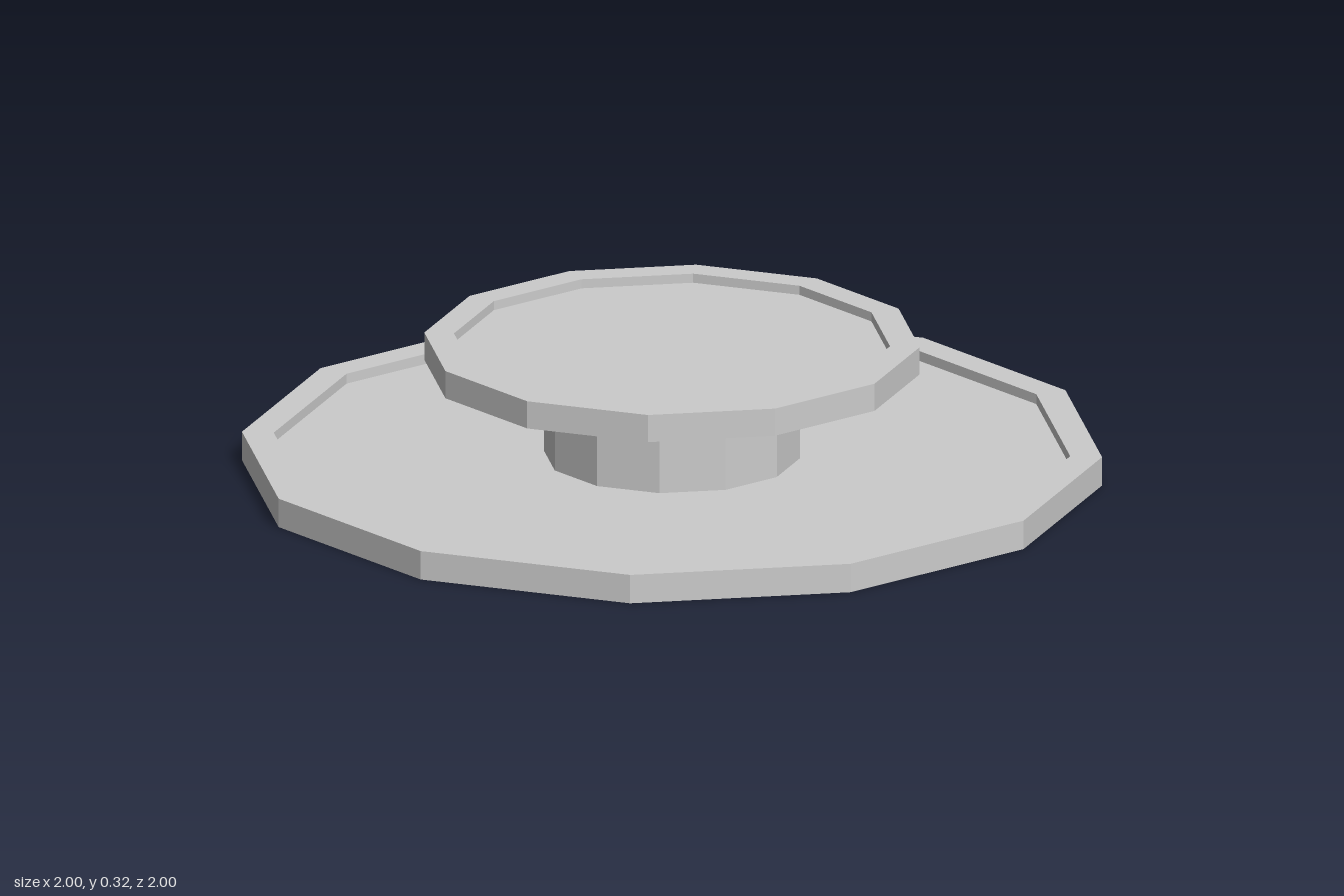
import * as THREE from 'three';

const SIDES = 12;
const material = new THREE.MeshStandardMaterial({ color: 0xcccccc, flatShading: true });

// Twelve-sided plate with a raised rim around a shallow recess
function plate(name, radius, innerRadius, bottom, top, floor) {
  const profile = [
    [0, bottom], [radius, bottom], [radius, top],
    [innerRadius, top], [innerRadius, floor], [0, floor],
  ].map(([r, y]) => new THREE.Vector2(r, y));
  const mesh = new THREE.Mesh(new THREE.LatheGeometry(profile, SIDES), material);
  mesh.name = name;
  return mesh;
}

export function createModel() {
  const group = new THREE.Group();
  group.name = 'tieredStand';

  const baseFloor = 0.045;
  const upperBottom = 0.257;

  group.add(plate('basePlate', 1, 0.926, 0, 0.069, baseFloor));
  group.add(plate('upperPlate', 0.576, 0.507, upperBottom, 0.323, 0.301));

  // Stem between the two plates
  const height = upperBottom - baseFloor;
  const stem = new THREE.Mesh(
    new THREE.CylinderGeometry(0.298, 0.298, height, SIDES, 1, true), material);
  stem.name = 'stem';
  stem.position.y = baseFloor + height / 2;
  group.add(stem);

  return group;
}
